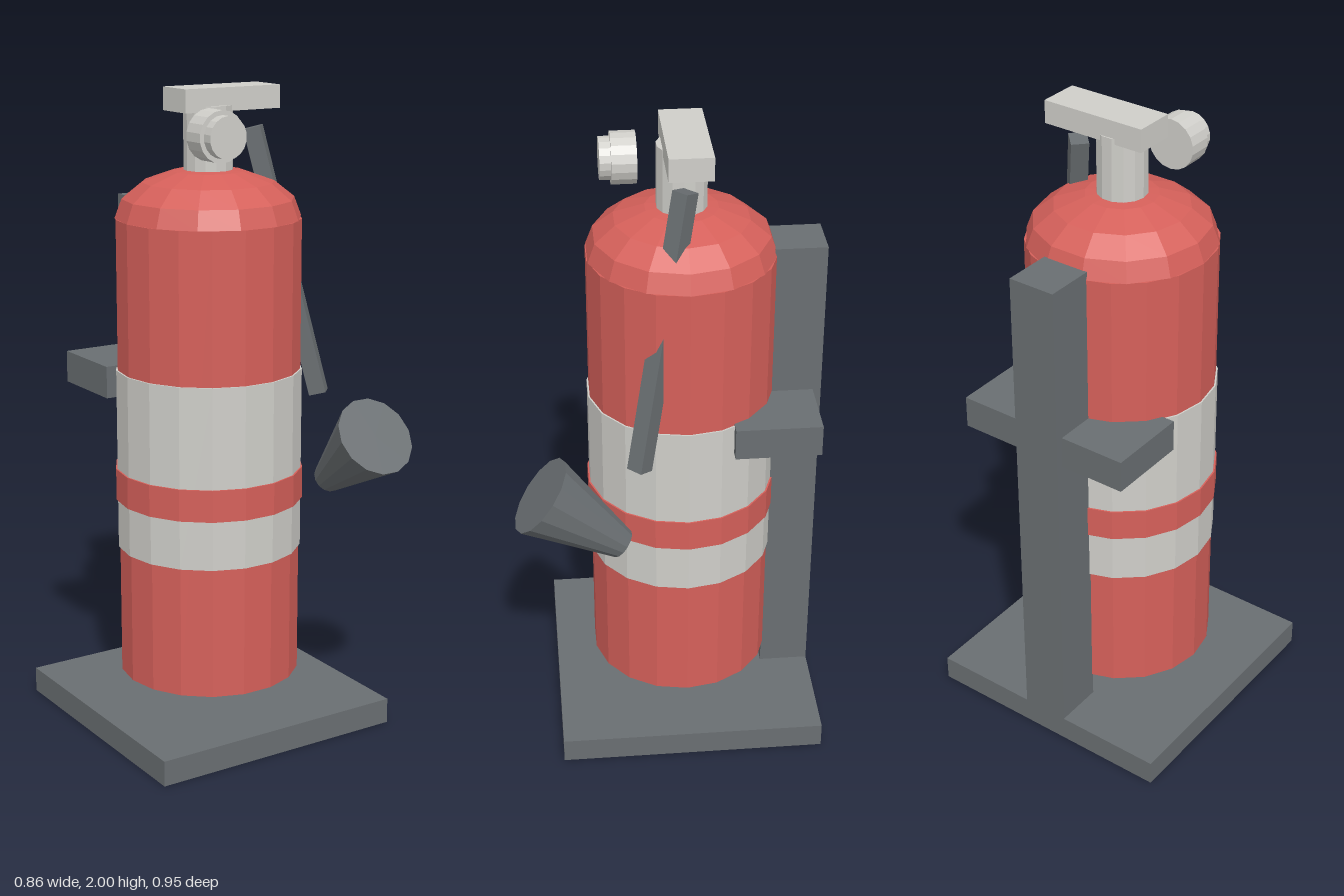
import * as THREE from 'three';

const paint = (name, color) => Object.assign(new THREE.MeshStandardMaterial({ color }), { name });

export function createModel() {
  const model = new THREE.Group();
  model.name = 'fireExtinguisher';
  const red = paint('red', 0xd5605a);
  const pale = paint('paleGrey', 0xcfcec9);
  const dark = paint('darkGrey', 0x696e71);
  const CX = -0.015, CZ = -0.053;

  // Faceted mesh: every face gets its own normal
  function add(name, geometry, material, x = 0, y = 0, z = 0) {
    const flat = geometry.toNonIndexed();
    flat.computeVertexNormals();
    const mesh = new THREE.Mesh(flat, material);
    mesh.name = name;
    mesh.position.set(x, y, z);
    model.add(mesh);
    return mesh;
  }

  // Box given by its lower and upper corners
  function box(name, material, a, b) {
    return add(name, new THREE.BoxGeometry(b[0] - a[0], b[1] - a[1], b[2] - a[2]), material,
      (a[0] + b[0]) / 2, (a[1] + b[1]) / 2, (a[2] + b[2]) / 2);
  }

  // Upright cylinder on the tank axis, with a corner pointing to +x
  function drum(name, material, radius, y0, y1, sides = 18) {
    const g = new THREE.CylinderGeometry(radius, radius, y1 - y0, sides).rotateY(Math.PI / 2);
    return add(name, g, material, CX, (y0 + y1) / 2, CZ);
  }

  // Stand
  box('basePlate', dark, [-0.43, 0, -0.475], [0.4, 0.08, 0.355]);
  box('backPost', dark, [-0.09, 0.08, -0.475], [0.06, 1.635, -0.32]);
  box('bracket', dark, [-0.3, 1.05, -0.45], [0.27, 1.15, -0.19]);

  // Tank, domed shoulder and label bands
  drum('tank', red, 0.285, 0.16, 1.61);
  const dome = new THREE.SphereGeometry(0.285, 14, 4, 0, Math.PI * 2, 0, Math.PI / 2);
  add('shoulder', dome.scale(1, 0.152 / 0.285, 1), red, CX, 1.61, CZ);
  drum('label', pale, 0.29, 0.575, 1.145);
  drum('labelStripe', red, 0.295, 0.73, 0.83);

  // Valve and handle
  drum('neck', pale, 0.075, 1.74, 1.947, 14);
  box('handle', pale, [-0.13, 1.93, -0.122], [0.205, 2, 0.005]);

  // Pressure gauge, facing forward
  for (const [name, r, z0, z1] of [['gaugeBody', 0.077, 0.073, 0.147], ['gaugeFace', 0.063, 0.147, 0.18]]) {
    add(name, new THREE.CylinderGeometry(r, r, z1 - z0, 18).rotateX(Math.PI / 2), pale, -0.093, 1.873, (z0 + z1) / 2);
  }

  // Slanted square hose, from beside the handle down to the horn
  const hoseTop = new THREE.Vector3(0.143, 1.872, -0.048);
  const hoseEnd = new THREE.Vector3(0.297, 1.05, 0.098);
  const hose = add('hose', new THREE.BoxGeometry(0.053, 0.053, hoseTop.distanceTo(hoseEnd)), dark);
  hose.position.lerpVectors(hoseTop, hoseEnd, 0.5);
  hose.lookAt(hoseEnd);

  // Discharge horn, opening forward and up
  const hornBack = new THREE.Vector3(0.298, 0.782, 0.152);
  const hornFront = new THREE.Vector3(0.298, 0.976, 0.393);
  const cone = new THREE.CylinderGeometry(0.127, 0.047, hornBack.distanceTo(hornFront), 14).rotateY(Math.PI / 2);
  const horn = add('horn', cone, dark);
  horn.position.lerpVectors(hornBack, hornFront, 0.5);
  horn.quaternion.setFromUnitVectors(new THREE.Vector3(0, 1, 0), hornFront.clone().sub(hornBack).normalize());

  return model;
}
